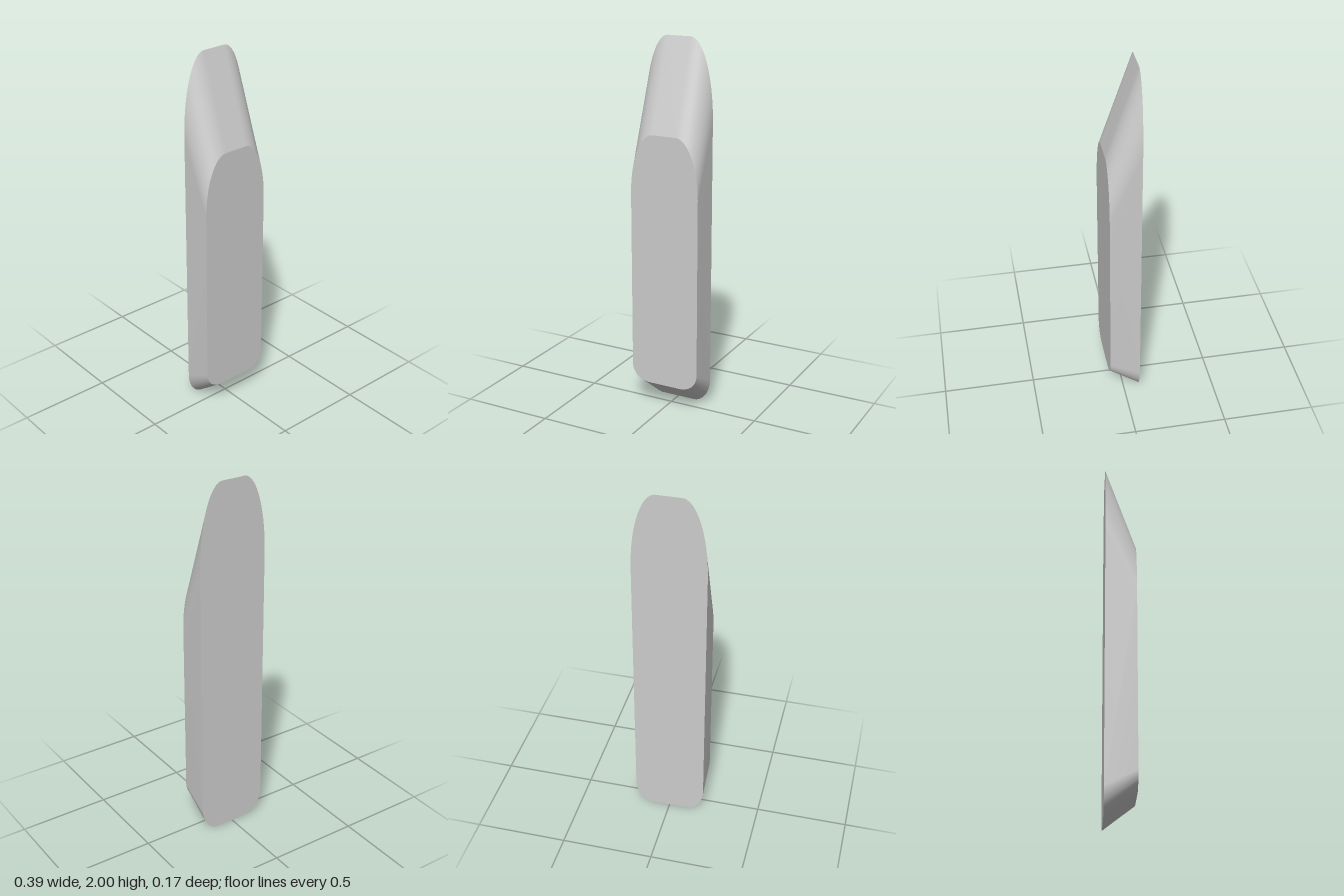
import * as THREE from 'three';
import { toCreasedNormals } from 'three/addons/utils/BufferGeometryUtils.js';

const HALF_W = 0.195, HALF_D = 0.083;
// Heights of: bottom, end of lower corners, start of upper corners, top
const BACK = [0, 0.14, 1.57, 2];
const FRONT = [0.13, 0.225, 1.19, 1.51];
const LOWER_RX = 0.1, UPPER_RX = 0.13;

// Maps a height on the back outline to the matching height on the front outline
function frontHeight(y) {
  const i = y < BACK[1] ? 0 : y < BACK[2] ? 1 : 2;
  return THREE.MathUtils.mapLinear(y, BACK[i], BACK[i + 1], FRONT[i], FRONT[i + 1]);
}

export function createModel() {
  const group = new THREE.Group();
  group.name = 'bevelledBar';

  // Back outline: a tall bar with elliptical corners
  const outline = new THREE.Shape();
  const corner = (side, y, rx, ry, start) =>
    outline.absellipse(side * (HALF_W - rx), y, rx, ry, start, start + Math.PI / 2, false, 0);
  const lowerRy = BACK[1] - BACK[0], upperRy = BACK[3] - BACK[2];
  outline.moveTo(HALF_W - LOWER_RX, 0);
  corner(1, BACK[1], LOWER_RX, lowerRy, -Math.PI / 2);
  corner(1, BACK[2], UPPER_RX, upperRy, 0);
  corner(-1, BACK[2], UPPER_RX, upperRy, Math.PI / 2);
  corner(-1, BACK[1], LOWER_RX, lowerRy, Math.PI);
  outline.closePath();

  const geometry = new THREE.ExtrudeGeometry(outline, {
    depth: 2 * HALF_D, bevelEnabled: false, curveSegments: 20,
  });
  geometry.translate(0, 0, -HALF_D);

  // Shorten the front face so both ends slope
  const p = geometry.attributes.position;
  for (let i = 0; i < p.count; i++) {
    if (p.getZ(i) > 0) p.setY(i, frontHeight(p.getY(i)));
  }

  const body = new THREE.Mesh(
    toCreasedNormals(geometry, 0.24),
    new THREE.MeshStandardMaterial({ color: 0xcccccc }),
  );
  body.name = 'body';
  group.add(body);
  return group;
}
